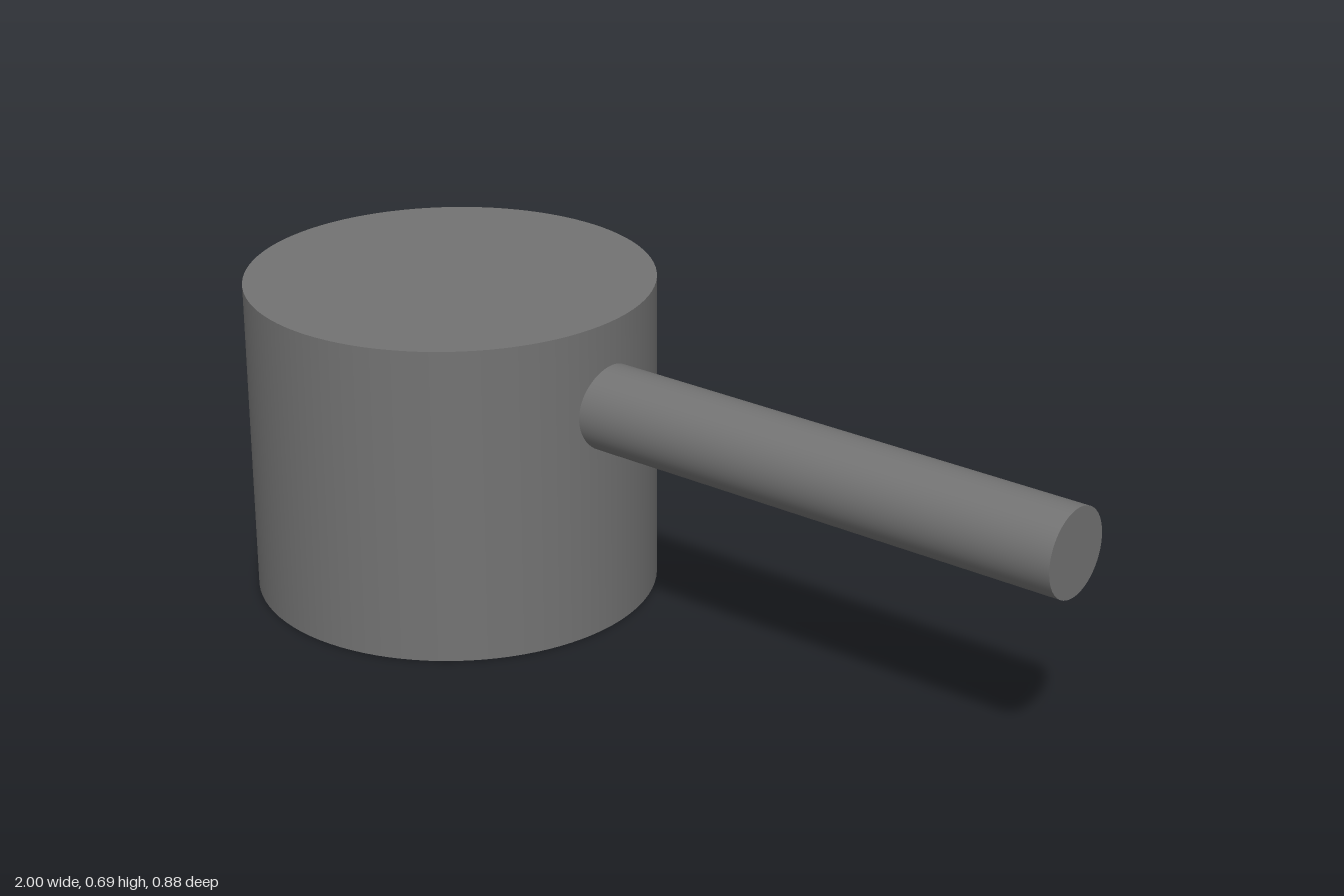
import * as THREE from 'three';

export function createModel() {
  const model = new THREE.Group();
  const material = new THREE.MeshStandardMaterial({ color: 0x737373 });

  const addCylinder = (name, radius, length, segments) => {
    const mesh = new THREE.Mesh(new THREE.CylinderGeometry(radius, radius, length, segments), material);
    mesh.name = name;
    model.add(mesh);
    return mesh;
  };

  // Upright drum standing on the ground
  const radius = 0.439, height = 0.694;
  addCylinder('body', radius, height, 96).position.set(-1 + radius, height / 2, 0);

  // Horizontal round handle, its inner end set just inside the drum wall
  const start = -0.16, end = 1;
  const handle = addCylinder('handle', 0.0925, end - start, 64);
  handle.rotation.z = -Math.PI / 2;
  handle.position.set((start + end) / 2, 0.505, -0.003);

  return model;
}
